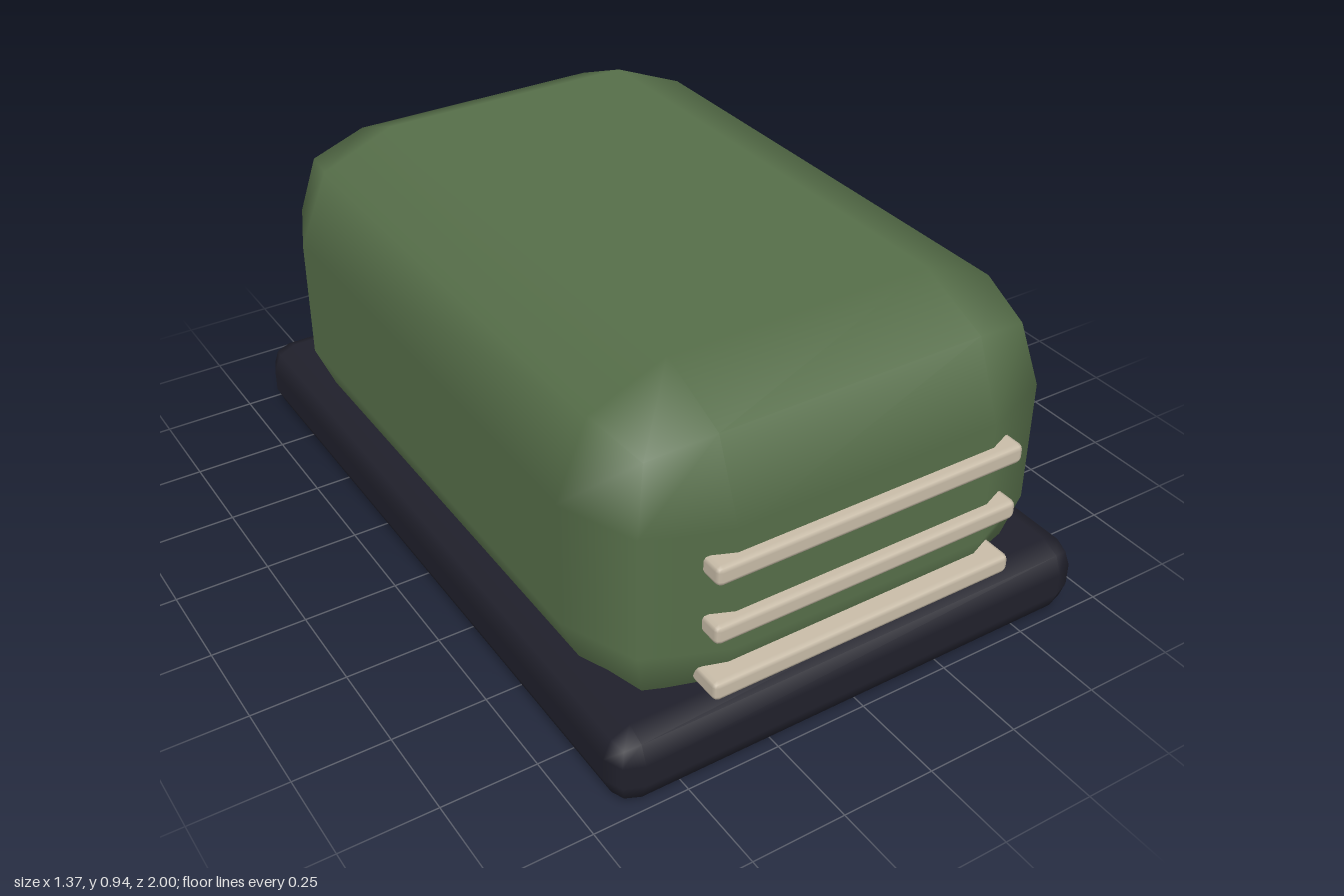
import * as THREE from 'three';
import { RoundedBoxGeometry } from 'three/addons/geometries/RoundedBoxGeometry.js';

function material(name, color) {
  const m = new THREE.MeshStandardMaterial({ color });
  m.name = name;
  return m;
}

export function createModel() {
  const model = new THREE.Group();
  model.name = 'model';

  const green = material('mossGreen', 0x566e49);
  const dark = material('darkNavy', 0x20202b);
  const cream = material('cream', 0xc8bca8);

  // One-segment rounded box, centred at (0, y, z)
  const block = (name, mat, w, h, d, radius, y, z = 0) => {
    const mesh = new THREE.Mesh(new RoundedBoxGeometry(w, h, d, 1, radius), mat);
    mesh.name = name;
    mesh.position.set(0, y, z);
    model.add(mesh);
  };

  // Base slab, with the bevelled body sunk into it
  block('base', dark, 1.365, 0.2, 2, 0.07, 0.1);
  block('body', green, 1.29, 0.9, 1.93, 0.285, 0.49);

  // Three horizontal grille bars across the front
  [0.245, 0.408, 0.571].forEach((y, i) => {
    block(`grilleBar${i + 1}`, cream, 0.86, 0.052, 0.1, 0.014, y, 0.944);
  });

  return model;
}
